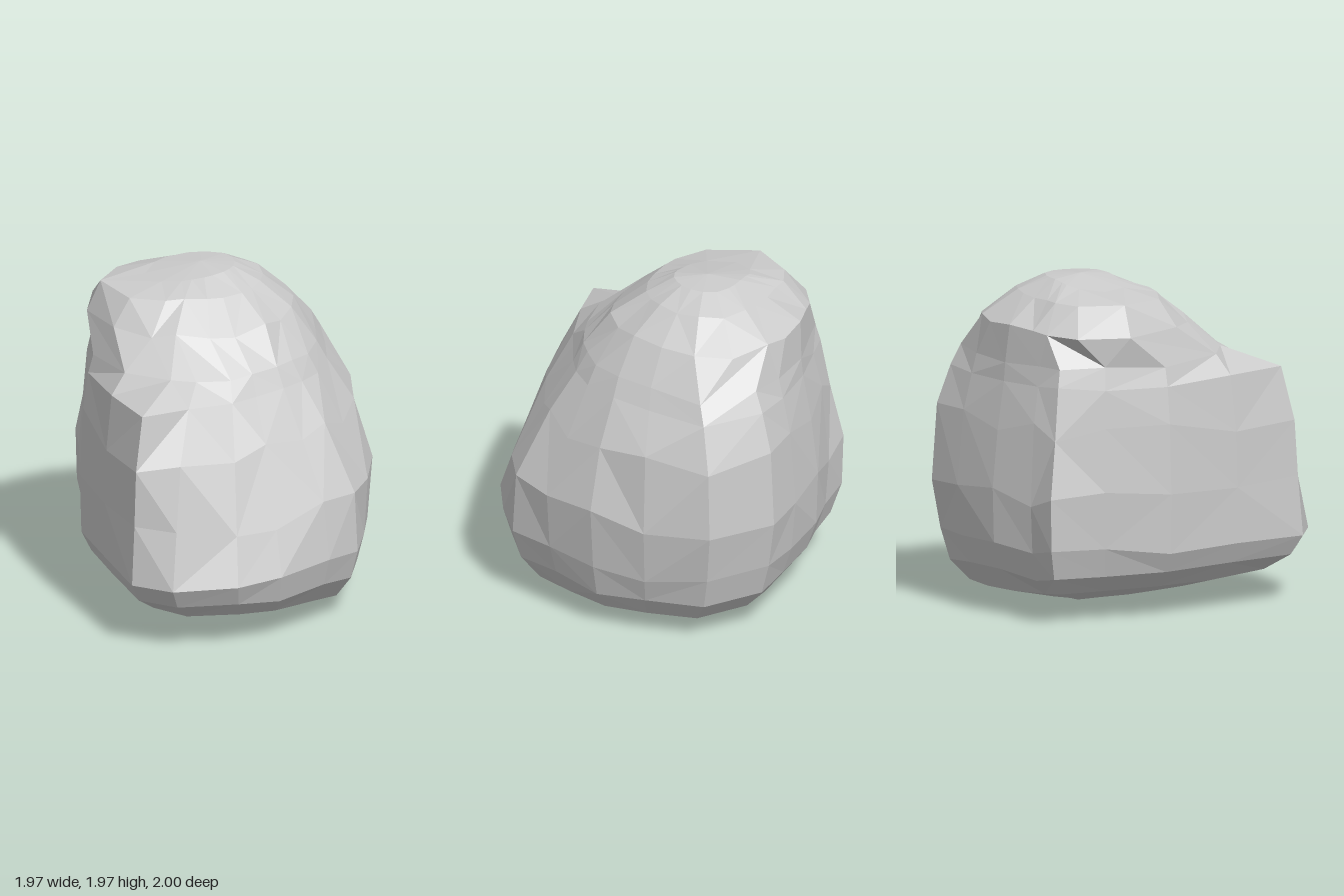
import * as THREE from 'three';

// Directions (degrees, from +x towards +z) shared by every cross-section;
// the back ridge lies at 247, the right-hand corner at 338.
const ANGLES = [0, 22, 45, 64, 80, 101, 116, 135, 148, 171, 203, 230, 247, 257, 276, 298, 314, 338];

// Horizontal cross-sections: height, centre depth, unevenness and radius along each direction
const SECTIONS = [
  { y: 0.42, z: 0, vary: 0.08, r: [.89, .85, .85, .94, .95, 1.02, 1.10, 1.18, 1.16, .90, .84, .88, 1.07, .94, .91, .91, .98, 1.00] },
  { y: 0.75, z: 0, vary: 0.14, r: [.93, .88, .87, .92, .90, .93, 1.00, 1.10, 1.13, .90, .85, .90, 1.08, .96, .92, .94, 1.03, 1.06] },
  { y: 1.12, z: 0, vary: 0.14, r: [.86, .77, .72, .71, .71, .74, .84, 1.01, 1.11, .89, .83, .87, 1.00, .92, .88, .90, 1.00, 1.03] },
  { y: 1.40, z: 0, vary: 0.03, r: [.69, .61, .57, .55, .54, .57, .65, .82, 1.03, .85, .80, .85, .94, .87, .83, .85, .92, .92] },
  { y: 1.51, z: 0, vary: 0.03, r: [.62, .55, .51, .48, .48, .50, .55, .64, .67, .75, .77, .82, .91, .85, .82, .82, .86, .84] },
  { y: 1.71, z: -0.25, vary: 0.05, r: [.57, .54, .54, .55, .57, .58, .59, .61, .64, .67, .68, .68, .62, .58, .56, .56, .57, .60] },
  { y: 1.87, z: -0.25, vary: 0.02, r: [.38, .36, .35, .35, .36, .37, .38, .41, .46, .55, .60, .53, .46, .40, .36, .35, .36, .39] },
];

function seeded(seed) {
  return () => (seed = (seed * 16807) % 2147483647) / 2147483647;
}

function boulderGeometry() {
  const rand = seeded(71);
  const n = ANGLES.length;
  const base = new THREE.Vector3(0.12, 0.0, 0.05);
  const crown = new THREE.Vector3(-0.01, 1.97, -0.25);

  const rings = SECTIONS.map(({ y, z, vary, r }) => ANGLES.map((deg, i) => {
    const a = THREE.MathUtils.degToRad(deg);
    return new THREE.Vector3(r[i] * Math.cos(a), y + (rand() - 0.5) * vary, z + r[i] * Math.sin(a));
  }));

  // Shrink a ring towards a pole, at a new height
  const shrink = (ring, pole, k, height) => ring.map((p) => {
    const q = pole.clone().lerp(p, k);
    q.y = height(q);
    return q;
  });
  // Tilted underside, and a crown that falls away to the right-hand side
  const belly = rings[0];
  rings.unshift(shrink(belly, base, 0.94, (q) => 0.26 - 0.03 * q.x + (rand() - 0.5) * 0.05));
  rings.unshift(shrink(belly, base, 0.81, (q) => 0.14 - 0.05 * q.x + (rand() - 0.5) * 0.02));
  rings.unshift(shrink(belly, base, 0.42, (q) => 0.045 - 0.06 * q.x));
  rings.push(shrink(rings[rings.length - 1], crown, 0.55, (q) => 1.955 + 0.15 * Math.min(q.x, 0)));

  const positions = [];
  const tri = (...pts) => pts.forEach((p) => positions.push(p.x, p.y, p.z));
  const first = rings[0], last = rings[rings.length - 1];
  for (let i = 0; i < n; i++) {
    const k = (i + 1) % n;
    tri(base, first[i], first[k]);
    tri(crown, last[k], last[i]);
    for (let j = 0; j < rings.length - 1; j++) {
      const a = rings[j][i], b = rings[j][k], c = rings[j + 1][i], d = rings[j + 1][k];
      // Vary the diagonal for irregular facets
      if (rand() < 0.5) { tri(a, c, d); tri(a, d, b); }
      else { tri(a, c, b); tri(b, c, d); }
    }
  }
  const geometry = new THREE.BufferGeometry();
  geometry.setAttribute('position', new THREE.Float32BufferAttribute(positions, 3));
  geometry.computeVertexNormals();
  return geometry;
}

export function createModel() {
  const group = new THREE.Group();
  group.name = 'rock';
  const boulder = new THREE.Mesh(
    boulderGeometry(),
    new THREE.MeshStandardMaterial({ color: 0xcccccc, flatShading: true }),
  );
  boulder.name = 'boulder';
  group.add(boulder);
  return group;
}
